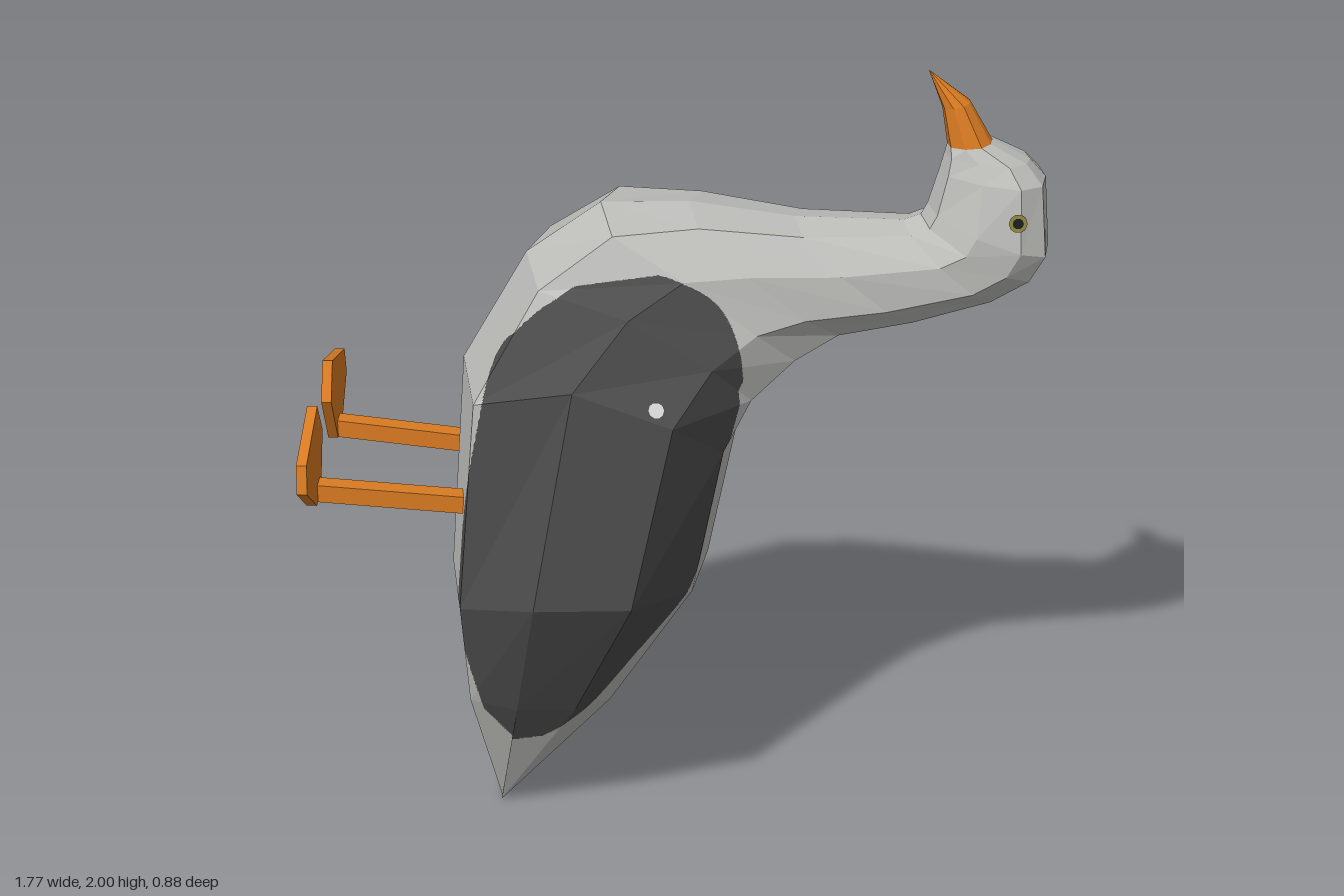
import * as THREE from 'three';

const mat = (name, color) => Object.assign(new THREE.MeshStandardMaterial({ color }), { name });

// Cross-sections from tail to head:
// [belly x, y, back x, y, belly half width, side half width, rear side half width, back half width, forward bulge]
const RINGS = [
  [-0.455, 0, -0.455, 0, 0.04, 0.06, 0.06, 0.05, 0],
  [-0.54, 0.38, -0.14, 0.38, 0.19, 0.265, 0.25, 0.17, 0.02],
  [-0.565, 0.68, 0.08, 0.72, 0.27, 0.44, 0.42, 0.22, 0.09],
  [-0.52, 1.25, 0.15, 1.08, 0.28, 0.375, 0.37, 0.21, 0.15],
  [-0.36, 1.53, 0.21, 1.2, 0.2, 0.28, 0.26, 0.17, 0.08],
  [-0.18, 1.66, 0.31, 1.29, 0.16, 0.21, 0.2, 0.13, 0.03],
  [0.03, 1.665, 0.41, 1.35, 0.12, 0.18, 0.17, 0.1, 0],
  [0.28, 1.63, 0.58, 1.38, 0.09, 0.145, 0.14, 0.08, 0],
  [0.54, 1.625, 0.76, 1.44, 0.07, 0.13, 0.13, 0.08, 0],
  [0.58, 1.64, 0.85, 1.5, 0.07, 0.135, 0.135, 0.09, 0],
  [0.595, 1.67, 0.885, 1.57, 0.07, 0.135, 0.14, 0.1, 0],
  [0.62, 1.76, 0.87, 1.74, 0.06, 0.1, 0.11, 0.07, 0],
  [0.63, 1.8, 0.83, 1.785, 0.05, 0.075, 0.08, 0.045, 0],
  [0.635, 1.82, 0.74, 1.83, 0.035, 0.055, 0.055, 0.03, 0],
];
const BEAK = [
  RINGS[RINGS.length - 1],
  [0.62, 1.91, 0.685, 1.925, 0.02, 0.034, 0.034, 0.016, 0],
  [0.585, 2, 0.585, 2, 0, 0, 0, 0, 0],
];

// Outline of the dark wing, projected on the flank
const WING = new THREE.CatmullRomCurve3([
  [-0.1, 1.56], [0, 1.55], [0.1, 1.49], [0.15, 1.4], [0.165, 1.3], [0.15, 1.15], [0.12, 1.02],
  [0.08, 0.85], [0.03, 0.72], [-0.09, 0.55], [-0.22, 0.38], [-0.37, 0.26], [-0.45, 0.22],
  [-0.48, 0.38], [-0.53, 0.65], [-0.515, 0.88], [-0.46, 1.2], [-0.42, 1.35], [-0.33, 1.46], [-0.2, 1.54],
].map(([x, y]) => new THREE.Vector3(x, y, 0)), true).getPoints(100);

function inWing(p) {
  if (p.z < 0.2) return false;
  let inside = false;
  for (let i = 0, j = WING.length - 1; i < WING.length; j = i++) {
    const a = WING[i], b = WING[j];
    if ((a.y > p.y) !== (b.y > p.y) && p.x < ((b.x - a.x) * (p.y - a.y)) / (b.y - a.y) + a.x) inside = !inside;
  }
  return inside;
}

// Half of a cross-section on the +z side, from belly to back
function halfRing([ax, ay, bx, by, wa, w1, w2, wb, bulge]) {
  const A = new THREE.Vector3(ax, ay, 0), B = new THREE.Vector3(bx, by, 0);
  const forward = new THREE.Vector3(ay - by, bx - ax, 0).normalize();
  return [[0, 0, 0], [0.07, wa, 0.1], [0.38, w1, 1], [0.74, w2, 0.8], [0.95, wb, 0.1], [1, 0, 0]]
    .map(([t, z, f]) => A.clone().lerp(B, t).addScaledVector(forward, bulge * f).setZ(z));
}

// Calls emit(a, b, c) for every facet of the +z half of a loft
function loft(rings, emit) {
  const r = rings.map(halfRing);
  for (let i = 0; i + 1 < r.length; i++) {
    for (let j = 0; j < 5; j++) {
      emit(r[i][j], r[i][j + 1], r[i + 1][j + 1]);
      emit(r[i][j], r[i + 1][j + 1], r[i + 1][j]);
    }
  }
}

// Adds a facet and its mirror image
function pushMirrored(list, a, b, c) {
  for (const p of [a, b, c]) list.push(p.x, p.y, p.z);
  for (const p of [c, b, a]) list.push(p.x, p.y, -p.z);
}

function facetMesh(name, list, material) {
  const g = new THREE.BufferGeometry();
  g.setAttribute('position', new THREE.Float32BufferAttribute(list, 3));
  g.computeVertexNormals();
  const mesh = new THREE.Mesh(g, material);
  mesh.name = name;
  return mesh;
}

export function createModel() {
  const model = new THREE.Group();
  model.name = 'bird';
  const grey = mat('plumageGrey', 0xbdbdba);
  const dark = mat('wingCharcoal', 0x4c4c4c);
  const orange = mat('beakOrange', 0xdb7c22);
  const yellow = mat('eyeYellow', 0x8c8440);
  const black = mat('pupilBlack', 0x1c1c1a);
  const white = mat('spotWhite', 0xd4d6d4);

  // Body, cut along the wing outline into two colours
  const plumage = [], wing = [];
  const cut = (a, b, c, depth) => {
    const n = [a, b, c].filter(inWing).length;
    if (depth < 2 || (depth < 6 && n % 3)) {
      const ab = a.clone().lerp(b, 0.5), bc = b.clone().lerp(c, 0.5), ca = c.clone().lerp(a, 0.5);
      for (const t of [[a, ab, ca], [ab, b, bc], [ca, bc, c], [ab, bc, ca]]) cut(...t, depth + 1);
    } else {
      const centre = a.clone().add(b).add(c).divideScalar(3);
      pushMirrored(inWing(centre) ? wing : plumage, a, b, c);
    }
  };
  loft(RINGS, (a, b, c) => cut(a, b, c, 0));
  const body = facetMesh('body', plumage, grey);
  const wings = facetMesh('wings', wing, dark);
  model.add(body, wings);

  // Beak
  const beak = [];
  loft(BEAK, (a, b, c) => pushMirrored(beak, a, b, c));
  model.add(facetMesh('beak', beak, orange));

  // Thin disc laid on the flank or head
  const ray = new THREE.Raycaster();
  const disc = (name, x, y, side, radius, lift, material) => {
    ray.set(new THREE.Vector3(x, y, side * 2), new THREE.Vector3(0, 0, -side));
    const hit = ray.intersectObjects([body, wings])[0];
    if (!hit) return;
    const mesh = new THREE.Mesh(new THREE.CircleGeometry(radius, 10), material);
    mesh.name = name;
    mesh.quaternion.setFromUnitVectors(new THREE.Vector3(0, 0, 1), hit.face.normal);
    mesh.position.copy(hit.point).addScaledVector(hit.face.normal, lift);
    model.add(mesh);
  };
  disc('wingSpot', -0.035, 1.28, 1, 0.02, 0.004, white);

  // Foot outline in (z, y)
  const footShape = new THREE.Shape([
    [0.15, 0.945], [0.22, 0.945], [0.345, 1.04], [0.33, 1.11], [0.13, 1.17], [0.075, 1.08],
  ].map(([z, y]) => new THREE.Vector2(z, y)));

  for (const side of [1, -1]) {
    const label = side > 0 ? 'Front' : 'Rear';
    disc('eye' + label, 0.8, 1.67, side, 0.022, 0.004, yellow);
    disc('pupil' + label, 0.8, 1.67, side, 0.013, 0.006, black);

    // Leg
    const from = new THREE.Vector3(-0.5, 0.933, side * 0.163), to = new THREE.Vector3(-0.875, 0.968, side * 0.178);
    const leg = new THREE.Mesh(new THREE.BoxGeometry(0.045, 0.045, from.distanceTo(to)), orange);
    leg.name = 'leg' + label;
    leg.position.copy(from).lerp(to, 0.5);
    leg.lookAt(to);
    model.add(leg);

    // Webbed foot
    const shape = side > 0 ? footShape
      : new THREE.Shape(footShape.getPoints().map((p) => new THREE.Vector2(-p.x, p.y)));
    const foot = new THREE.Mesh(new THREE.ExtrudeGeometry(shape, { depth: 0.025, bevelEnabled: false }), orange);
    foot.name = 'foot' + label;
    foot.rotation.y = -Math.PI / 2;
    foot.position.x = -0.865;
    model.add(foot);
  }
  return model;
}
